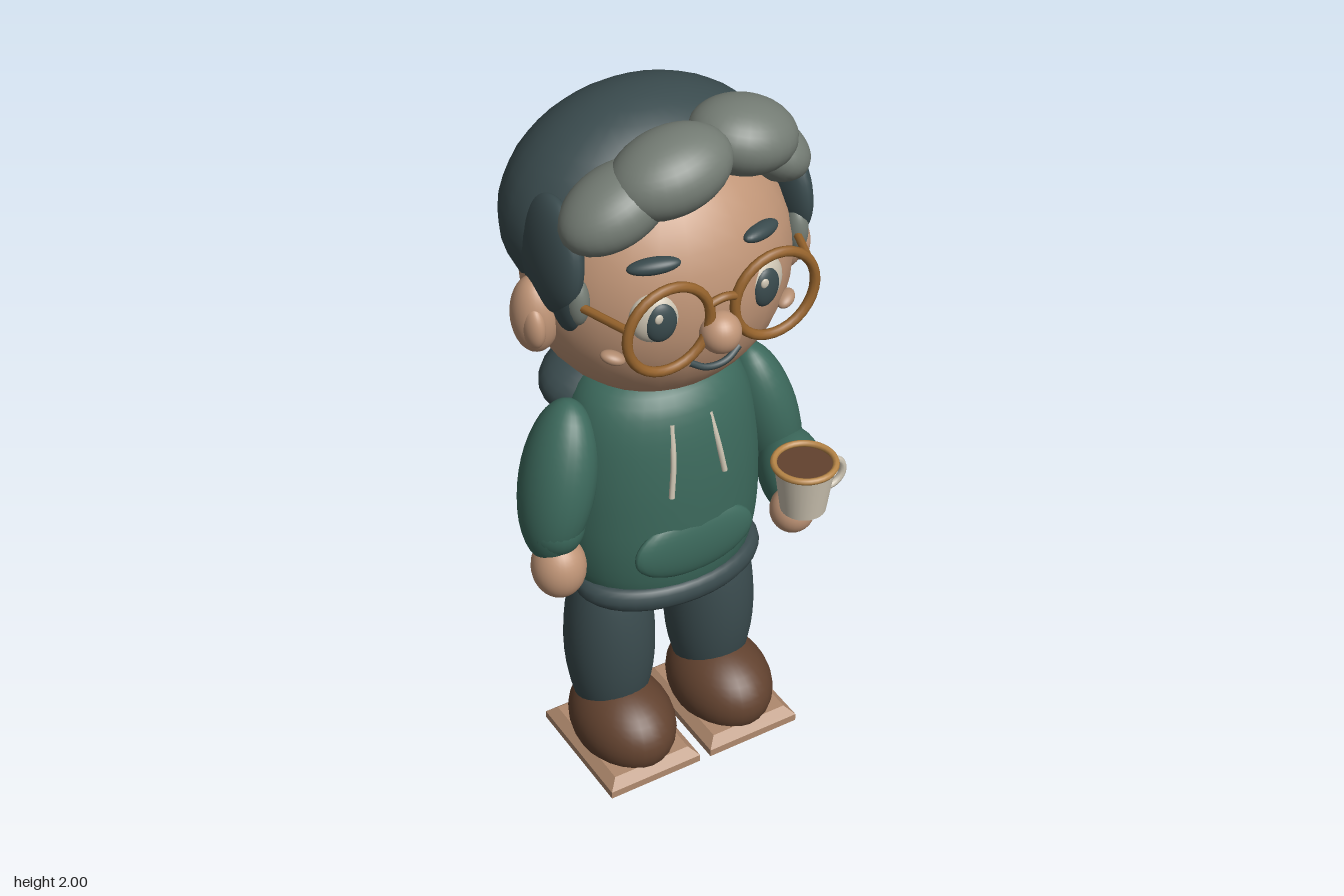
import * as THREE from 'three';

const mat = (name, color, side = THREE.FrontSide) => {
  const m = new THREE.MeshStandardMaterial({ color, side });
  m.name = name;
  return m;
};

export function createModel() {
  const skin = mat('skin', 0xc09577);
  const slate = mat('dark slate', 0x3a4b4e);
  const grey = mat('grey hair', 0x747c74);
  const green = mat('hoodie green', 0x3c695c);
  const brown = mat('boot brown', 0x62422f);
  const tan = mat('sole tan', 0xb08a6e);
  const cream = mat('cream', 0xcdc4b2, THREE.DoubleSide);
  const frame = mat('glasses amber', 0x96632c);
  const gold = mat('rim gold', 0xb98748);

  const model = new THREE.Group();
  model.name = 'figure';
  const group = (name) => {
    const g = new THREE.Group();
    g.name = name;
    model.add(g);
    return g;
  };
  const add = (parent, name, geo, material, p = [0, 0, 0], r = [0, 0, 0]) => {
    const m = new THREE.Mesh(geo, material);
    m.name = name;
    m.position.set(...p);
    m.rotation.set(...r);
    parent.add(m);
    return m;
  };
  const sphere = new THREE.SphereGeometry(1, 28, 20);
  const blob = (parent, name, material, p, s, r) => {
    const m = add(parent, name, sphere, material, p, r);
    m.scale.set(...s);
    return m;
  };
  const tube = (parent, name, material, pts, radius) => {
    const curve = new THREE.CatmullRomCurve3(pts.map((q) => new THREE.Vector3(...q)));
    return add(parent, name, new THREE.TubeGeometry(curve, 16, radius, 8), material);
  };

  // Head, ears and hair
  const head = group('head');
  blob(head, 'skull', skin, [0, 1.555, -0.03], [0.35, 0.355, 0.305]);
  blob(head, 'hairCap', slate, [0, 1.69, -0.1], [0.372, 0.295, 0.275]);
  for (const s of [-1, 1]) {
    blob(head, 'ear', skin, [s * 0.355, 1.515, -0.005], [0.06, 0.105, 0.065]);
    blob(head, 'innerEar', skin, [s * 0.378, 1.505, 0.03], [0.027, 0.06, 0.04]);
    blob(head, 'sideHair', slate, [s * 0.32, 1.69, 0.025], [0.05, 0.15, 0.13], [0, 0, s * 0.08]);
    blob(head, 'sideburn', slate, [s * 0.318, 1.6, 0.085], [0.03, 0.09, 0.06]);
    blob(head, 'greyTemple', grey, [s * 0.308, 1.605, 0.12], [0.03, 0.065, 0.035]);
  }
  const locks = [
    [[-0.2, 1.83, 0.115], [0.15, 0.088, 0.11], 0.42],
    [[-0.065, 1.895, 0.14], [0.16, 0.098, 0.12], 0.22],
    [[0.165, 1.9, 0.09], [0.14, 0.093, 0.125], -0.2],
    [[0.268, 1.815, 0.05], [0.105, 0.075, 0.115], -0.6],
  ];
  for (const [p, s, a] of locks) blob(head, 'fringeLock', grey, p, s, [0, 0, a]);

  // Face
  const face = group('face');
  face.position.x = -0.008;
  for (const s of [-1, 1]) {
    blob(face, 'eyeWhite', cream, [s * 0.152, 1.57, 0.225], [0.062, 0.068, 0.035], [0, s * 0.3, 0]);
    blob(face, 'iris', slate, [s * 0.147, 1.566, 0.247], [0.041, 0.054, 0.02], [0, s * 0.2, 0]);
    blob(face, 'eyeGlint', cream, [s * 0.147 - 0.015, 1.59, 0.266], [0.011, 0.013, 0.005]);
    blob(face, 'eyebrow', slate, [s * 0.148, 1.708, 0.218], [0.065, 0.02, 0.025], [0, s * 0.4, -s * 0.1]);
    blob(face, 'cheekMark', tan, [s * 0.245, 1.465, 0.19], [0.032, 0.016, 0.022], [0, s * 0.6, s * 0.3]);
  }
  blob(face, 'nose', skin, [-0.005, 1.512, 0.287], [0.052, 0.054, 0.052]);
  tube(face, 'mouth', slate, [[-0.07, 1.425, 0.253], [-0.035, 1.405, 0.262], [0, 1.399, 0.264],
    [0.035, 1.405, 0.262], [0.07, 1.425, 0.253]], 0.009);

  // Glasses
  const glasses = group('glasses');
  glasses.position.x = -0.006;
  for (const s of [-1, 1]) {
    add(glasses, 'lensRim', new THREE.TorusGeometry(0.114, 0.013, 10, 32), frame, [s * 0.148, 1.567, 0.285]);
    tube(glasses, 'templeArm', frame, [[s * 0.258, 1.6, 0.28], [s * 0.305, 1.603, 0.14], [s * 0.35, 1.605, 0]], 0.011);
  }
  tube(glasses, 'bridge', frame, [[-0.045, 1.598, 0.285], [0, 1.61, 0.289], [0.045, 1.598, 0.285]], 0.011);

  // Hoodie body, hood, hem, pocket and cords
  const hoodie = group('hoodie');
  const profile = [[0, 0.47], [0.1, 0.49], [0.19, 0.54], [0.255, 0.63], [0.28, 0.75], [0.283, 0.87],
    [0.275, 1.0], [0.25, 1.13], [0.2, 1.215], [0.1, 1.26], [0, 1.27]].map(([x, y]) => new THREE.Vector2(x, y));
  const smooth = new THREE.SplineCurve(profile).getPoints(32).map((v) => v.setX(Math.max(v.x, 0)));
  const torso = add(hoodie, 'torso', new THREE.LatheGeometry(smooth, 32), green, [0, 0, -0.027]);
  torso.scale.z = 0.76;
  blob(hoodie, 'hood', slate, [0, 1.15, -0.15], [0.265, 0.112, 0.17], [0.15, 0, 0]);
  const hem = add(hoodie, 'hem', new THREE.TorusGeometry(0.237, 0.035, 12, 36), slate, [0, 0.617, 0.02], [Math.PI / 2, 0, 0]);
  hem.scale.y = 0.63;
  blob(hoodie, 'pocket', green, [-0.003, 0.775, 0.163], [0.178, 0.098, 0.034]);
  tube(hoodie, 'cord', cream, [[-0.06, 1.16, 0.142], [-0.07, 1.06, 0.168], [-0.082, 0.96, 0.18]], 0.008);
  tube(hoodie, 'cord', cream, [[0.05, 1.16, 0.143], [0.063, 1.07, 0.168], [0.077, 0.985, 0.178]], 0.008);

  // Arms: one hanging, one bent to hold the cup
  const rightArm = group('rightArm');
  blob(rightArm, 'sleeve', green, [-0.312, 0.99, 0], [0.095, 0.225, 0.115], [-0.12, 0, -0.26]);
  blob(rightArm, 'cuff', green, [-0.338, 0.88, 0.025], [0.078, 0.09, 0.085]);
  blob(rightArm, 'hand', skin, [-0.34, 0.752, 0.045], [0.072, 0.09, 0.075]);
  const leftArm = group('leftArm');
  blob(leftArm, 'upperSleeve', green, [0.312, 0.96, -0.01], [0.092, 0.245, 0.118], [0, 0, 0.23]);
  blob(leftArm, 'forearm', green, [0.318, 0.855, 0.13], [0.09, 0.1, 0.155], [0, -0.4, 0]);
  blob(leftArm, 'hand', skin, [0.245, 0.835, 0.245], [0.06, 0.065, 0.06]);

  // Cup with drink
  const cup = group('cup');
  cup.position.set(0.248, 0, 0.288);
  add(cup, 'cupWall', new THREE.CylinderGeometry(0.08, 0.06, 0.145, 28, 1, true), cream, [0, 0.944, 0]);
  add(cup, 'cupBase', new THREE.CylinderGeometry(0.06, 0.058, 0.01, 28), cream, [0, 0.876, 0]);
  add(cup, 'drink', new THREE.CylinderGeometry(0.076, 0.074, 0.01, 28), brown, [0, 1.002, 0]);
  add(cup, 'rim', new THREE.TorusGeometry(0.08, 0.009, 8, 32), gold, [0, 1.014, 0], [Math.PI / 2, 0, 0]);
  add(cup, 'handle', new THREE.TorusGeometry(0.042, 0.01, 8, 24), cream, [0.078, 0.95, 0]);

  // Legs, boots and chamfered soles
  const w = 0.115, d = 0.16;
  const plate = new THREE.Shape([[-w, -d], [w, -d], [w, d], [-w, d]].map(([x, y]) => new THREE.Vector2(x, y)));
  const soleGeo = new THREE.ExtrudeGeometry(plate, {
    depth: 0.022, bevelEnabled: true, bevelThickness: 0.025, bevelSize: 0.025, bevelSegments: 1,
  });
  soleGeo.rotateX(-Math.PI / 2);
  for (const s of [-1, 1]) {
    const leg = group(s > 0 ? 'leftLeg' : 'rightLeg');
    blob(leg, 'trouserLeg', slate, [s * 0.158, 0.385, -0.02], [0.124, 0.32, 0.13]);
    blob(leg, 'boot', brown, [s * 0.157, 0.129, 0.043], [0.137, 0.129, 0.183]);
    add(leg, 'sole', soleGeo, tan, [s * 0.157, 0.037, 0.042]);
  }
  return model;
}
